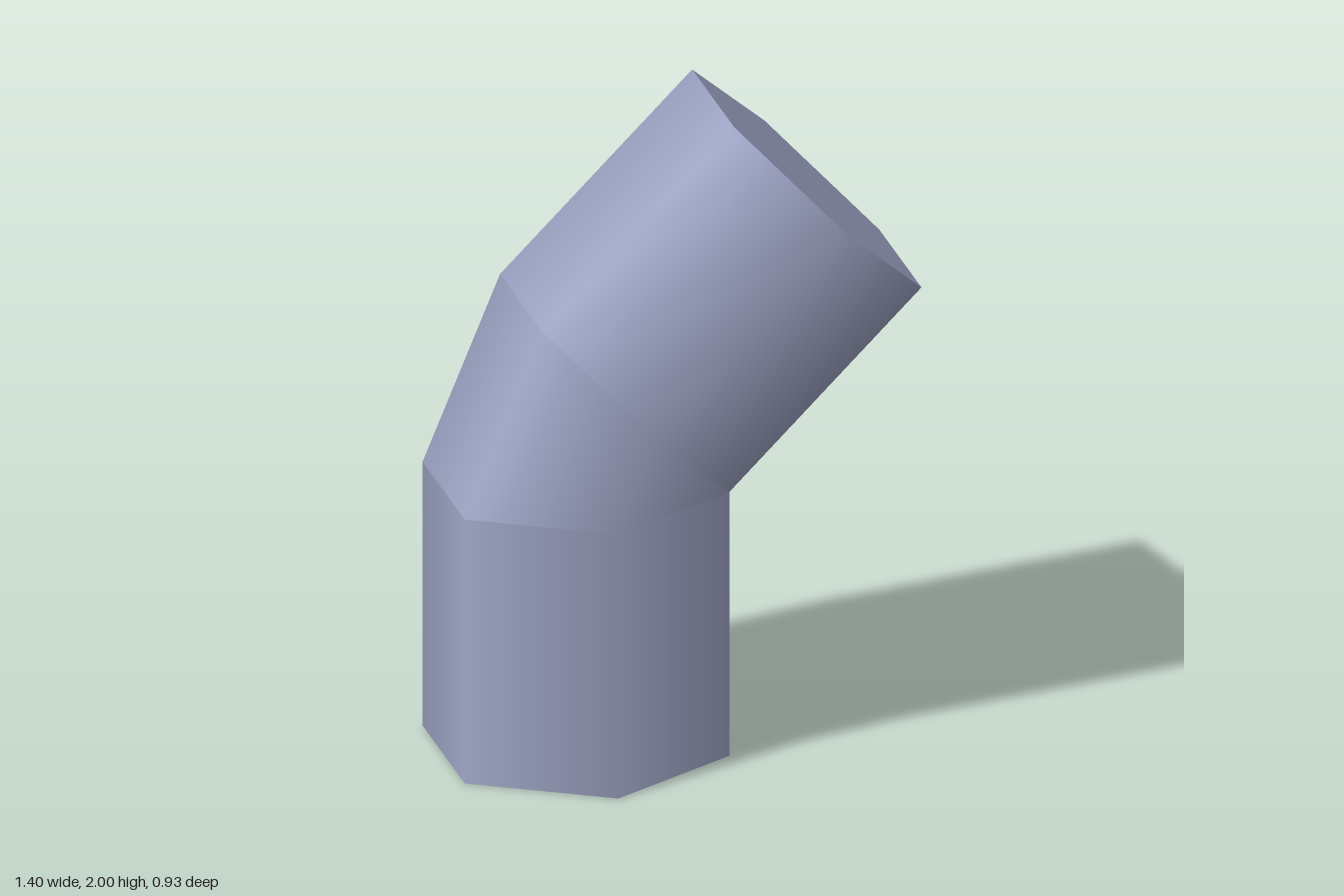
import * as THREE from 'three';

const SIDES = 6;
const RADIUS = 0.467;
const APOTHEM = RADIUS * Math.cos(Math.PI / SIDES);
const BEND = Math.PI / 4;
const LOWER_LENGTH = 0.84;
const UPPER_LENGTH = 0.83;
const HINGE_X = 0.11; // inner edge about which the pipe bends

export function createModel() {
  const model = new THREE.Group();
  model.name = 'bentPipe';
  const paint = new THREE.MeshStandardMaterial({ color: 0x9fa6c6, side: THREE.DoubleSide });
  paint.name = 'greyBlue';

  const add = (name, geometry) => {
    const mesh = new THREE.Mesh(geometry, paint);
    mesh.name = name;
    model.add(mesh);
  };

  // Six-sided pipe standing at the origin, its inner edge on x = 0
  const pipe = (length, open = false) =>
    new THREE.CylinderGeometry(RADIUS, RADIUS, length, SIDES, 1, open)
      .translate(-APOTHEM, length / 2, 0);

  // Upright lower pipe
  add('lowerPipe', pipe(LOWER_LENGTH).translate(HINGE_X, 0, 0));

  // Upper pipe, leaning about the hinge
  add('upperPipe', pipe(UPPER_LENGTH).rotateZ(-BEND).translate(HINGE_X, LOWER_LENGTH, 0));

  // Wedge joint: swing the top ring about the hinge, lean the normals halfway
  const wedge = pipe(1, true);
  const { position, normal } = wedge.attributes;
  const axis = new THREE.Vector3(0, 0, 1);
  const v = new THREE.Vector3();
  for (let i = 0; i < position.count; i++) {
    v.fromBufferAttribute(position, i);
    const angle = v.y > 0.5 ? -BEND : 0;
    v.setY(0).applyAxisAngle(axis, angle);
    position.setXYZ(i, v.x, v.y, v.z);
    v.fromBufferAttribute(normal, i).applyAxisAngle(axis, -BEND / 2);
    normal.setXYZ(i, v.x, v.y, v.z);
  }
  add('elbowJoint', wedge.translate(HINGE_X, LOWER_LENGTH, 0));

  return model;
}
